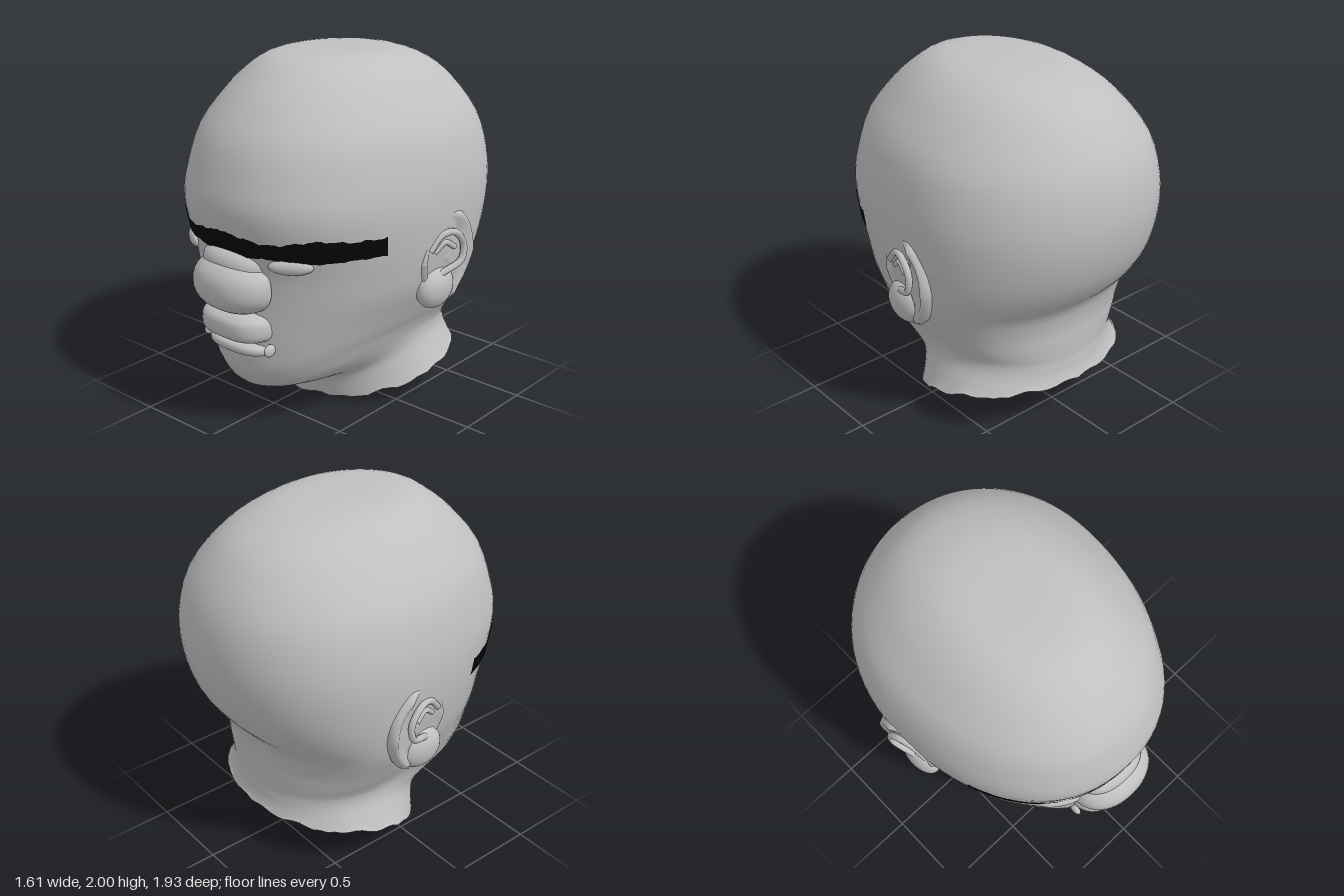
import * as THREE from 'three';

const skin = new THREE.MeshStandardMaterial({ color: 0xc0c0c0, side: THREE.DoubleSide });
skin.name = 'grey skin';
const black = new THREE.MeshStandardMaterial({ color: 0x060606, side: THREE.DoubleSide });
black.name = 'black brow';

// Head cross-sections: front z, front y, back z, back y, half width, upward bow of the sides
const RINGS = [
  [0.041, 2.0, 0.039, 2.0, 0.001, 0],
  [0.25, 1.996, -0.2, 1.997, 0.19, 0],
  [0.41, 1.965, -0.43, 1.975, 0.33, 0],
  [0.52, 1.895, -0.65, 1.895, 0.45, 0],
  [0.64, 1.79, -0.79, 1.78, 0.56, 0],
  [0.785, 1.61, -0.91, 1.6, 0.69, 0],
  [0.86, 1.4, -0.96, 1.4, 0.748, 0],
  [0.885, 1.25, -0.955, 1.2, 0.765, 0],
  [0.85, 1.08, -0.9, 1.0, 0.755, 0],
  [0.81, 0.92, -0.81, 0.85, 0.735, 0],
  [0.8, 0.75, -0.71, 0.73, 0.705, 0.01],
  [0.8, 0.55, -0.68, 0.6, 0.645, 0.04],
  [0.79, 0.4, -0.68, 0.52, 0.61, 0.08],
  [0.77, 0.31, -0.68, 0.46, 0.585, 0.11],
  [0.7, 0.21, -0.68, 0.42, 0.562, 0.125],
  [0.56, 0.17, -0.68, 0.39, 0.552, 0.12],
  [0.38, 0.155, -0.685, 0.35, 0.555, 0.1],
  [0.31, 0.11, -0.69, 0.31, 0.58, 0.08],
  [0.27, 0.0, -0.71, 0.25, 0.63, 0.06],
];
const LAST = RINGS.length - 1;

// Smoothly interpolated cross-section at height parameter v
function ringAt(v) {
  const i = Math.min(Math.floor(v), LAST - 1), t = v - i;
  const get = (k) => RINGS[Math.max(0, Math.min(LAST, k))];
  const [a, b, c, d] = [get(i - 1), get(i), get(i + 1), get(i + 2)];
  return b.map((_, k) => b[k] + 0.5 * t * (c[k] - a[k]
    + t * (2 * a[k] - 5 * b[k] + 4 * c[k] - d[k] + t * (3 * (b[k] - c[k]) + d[k] - a[k]))));
}

// Point on the head; angle 0 faces forward, lift pushes it off the surface
function headPoint(v, angle, lift = 0) {
  const [zf, yf, zb, yb, w, bow] = ringAt(v);
  // The widest point slides back below the crown, and the face is squarer than the jaw
  const zw = 0.04 - 0.25 * THREE.MathUtils.smoothstep(v, 0, 7);
  const round = 2 + 0.25 * Math.exp(-(((v - 8) / 3.5) ** 2));
  const s = Math.sin(angle), c = Math.cos(angle), e = 2 / (c > 0 ? round : 2.1);
  const x = w * Math.sign(s) * Math.abs(s) ** e;
  const z = zw + (c > 0 ? zf - zw : zw - zb) * Math.sign(c) * Math.abs(c) ** e;
  const t = (z - zb) / (zf - zb);
  return [x * (1 + lift), yb + (yf - yb) * t + bow * Math.sin(Math.PI * t), zw + (z - zw) * (1 + lift)];
}

// Surface from a grid of points, rows running downwards
function gridGeometry(rows, cols, wrap, point) {
  const pos = [], idx = [], n = wrap ? cols : cols + 1;
  for (let i = 0; i <= rows; i++) for (let j = 0; j < n; j++) pos.push(...point(i / rows, j / cols));
  for (let i = 0; i < rows; i++) for (let j = 0; j < cols; j++) {
    const a = i * n + j, b = i * n + (j + 1) % n;
    idx.push(a, a + n, b, b, a + n, b + n);
  }
  const g = new THREE.BufferGeometry();
  g.setAttribute('position', new THREE.Float32BufferAttribute(pos, 3));
  g.setIndex(idx);
  g.computeVertexNormals();
  return g;
}

function add(parent, name, geometry, material = skin) {
  const mesh = new THREE.Mesh(geometry, material);
  mesh.name = name;
  parent.add(mesh);
  return mesh;
}

// Ellipsoid or its front half; a power below 1 makes it boxier
function blob(parent, name, pos, radii, { half = false, turn = 0, power = 1 } = {}) {
  const g = new THREE.SphereGeometry(1, 32, 20, 0, half ? Math.PI : Math.PI * 2);
  const p = g.attributes.position;
  const bend = (a) => Math.sign(a) * Math.abs(a) ** power;
  for (let i = 0; i < p.count; i++) p.setXYZ(i, bend(p.getX(i)), bend(p.getY(i)), p.getZ(i));
  g.computeVertexNormals();
  const mesh = add(parent, name, g);
  mesh.scale.set(...radii);
  mesh.position.set(...pos);
  mesh.rotation.y = turn;
}

// Brow strip hugging the head, with a ragged edge
function browGeometry(lift) {
  const reach = 1.085;
  return gridGeometry(4, 80, false, (r, q) => {
    const angle = (q * 2 - 1) * reach, a = Math.abs(angle);
    const jag = 0.005 * Math.sin(a * 41) + 0.003 * Math.sin(a * 87);
    const wave = Math.cos(a * 9.5) * (a < 0.83 ? 1 : 0.2);
    const top = 1.135 + 0.014 * wave + jag;
    const bottom = 1.026 - 0.008 * wave - jag * 0.5;
    const y = top + (bottom - top) * r;
    let lo = 5, hi = 11;
    for (let k = 0; k < 24; k++) {
      const mid = (lo + hi) / 2;
      if (headPoint(mid, angle)[1] > y) lo = mid; else hi = mid;
    }
    return headPoint(lo, angle, lift);
  });
}

// Ear: dished oval flaring outwards towards the back, with lobe and inner folds
function buildEar() {
  const ear = new THREE.Group();
  const profile = [[0.001, 0.025], [0.5, 0.03], [0.7, 0.05], [0.82, 0.08], [0.92, 0.086], [1, 0.06], [0.97, 0.01], [0.85, -0.06]]
    .map(([r, h]) => new THREE.Vector2(r, h)).reverse();
  const shell = new THREE.LatheGeometry(profile, 40);
  shell.rotateZ(-Math.PI / 2);
  shell.scale(1, 0.285, 0.21);
  const p = shell.attributes.position;
  for (let i = 0; i < p.count; i++) {
    const y = p.getY(i), z = p.getZ(i);
    const flare = z > -0.08 ? 0.045 - (z + 0.08) * 0.35 : 0.045 + (z + 0.08) * 0.45;
    p.setX(i, p.getX(i) + flare - 0.7 * y * y + Math.min(0, y) * 0.18);
    p.setZ(i, z * (y < 0 ? 1 + y * 0.6 : 1));
  }
  shell.computeVertexNormals();
  add(ear, 'earShell', shell);
  blob(ear, 'earLobe', [0.0, -0.165, 0.055], [0.078, 0.122, 0.14]);
  const fold = (name, pts, radius) => add(ear, name, new THREE.TubeGeometry(
    new THREE.CatmullRomCurve3(pts.map((q) => new THREE.Vector3(...q))), 24, radius, 8));
  fold('earFold', [[0.03, 0.07, 0.15], [0.05, 0.15, 0.07], [0.075, 0.15, -0.02], [0.085, 0.07, -0.085], [0.085, -0.02, -0.07], [0.05, -0.07, 0.03], [0.02, -0.1, 0.1]], 0.02);
  fold('earInnerFold', [[0.03, 0.05, 0.11], [0.05, 0.1, 0.04], [0.065, 0.06, -0.03]], 0.016);
  ear.position.set(0.7, 0.905, -0.12);
  return ear;
}

export function createModel() {
  const model = new THREE.Group();
  model.name = 'head';

  // Skull, face and neck with a torn lower rim
  add(model, 'skullAndNeck', gridGeometry(LAST * 3, 80, true, (r, q) => {
    const angle = q * Math.PI * 2, pt = headPoint(r * LAST, angle);
    if (r === 1) pt[1] += 0.025 * Math.abs(Math.sin(angle * 5.5) * Math.sin(angle * 9));
    return pt;
  }));

  // Brow strip, seen outside and inside
  add(model, 'brow', browGeometry(0.005), black);
  add(model, 'browInside', browGeometry(-0.006), black);

  // Nose
  blob(model, 'nose', [0, 0.842, 0.77], [0.26, 0.165, 0.198], { half: true, power: 0.88 });
  blob(model, 'noseBridge', [0, 0.955, 0.76], [0.215, 0.105, 0.14], { half: true, power: 0.85 });

  // Mouth
  blob(model, 'upperLip', [0, 0.61, 0.74], [0.235, 0.095, 0.165], { power: 0.65 });
  blob(model, 'lowerLip', [0, 0.48, 0.735], [0.215, 0.045, 0.115], { power: 0.75 });
  blob(model, 'mouthCavity', [0, 0.52, 0.62], [0.2, 0.11, 0.14], { power: 0.7 });

  for (const side of [1, -1]) {
    const name = side > 0 ? 'left' : 'right';
    blob(model, name + 'MouthCorner', [side * 0.23, 0.495, 0.76], [0.02, 0.035, 0.04]);
    blob(model, name + 'Eyelid', [side * 0.36, 0.995, 0.728], [0.12, 0.043, 0.035], { half: true, turn: side * 0.6 });
    const ear = buildEar();
    ear.name = name + 'Ear';
    if (side < 0) {
      ear.scale.x = -1;
      ear.position.x *= -1;
    }
    model.add(ear);
  }
  return model;
}
